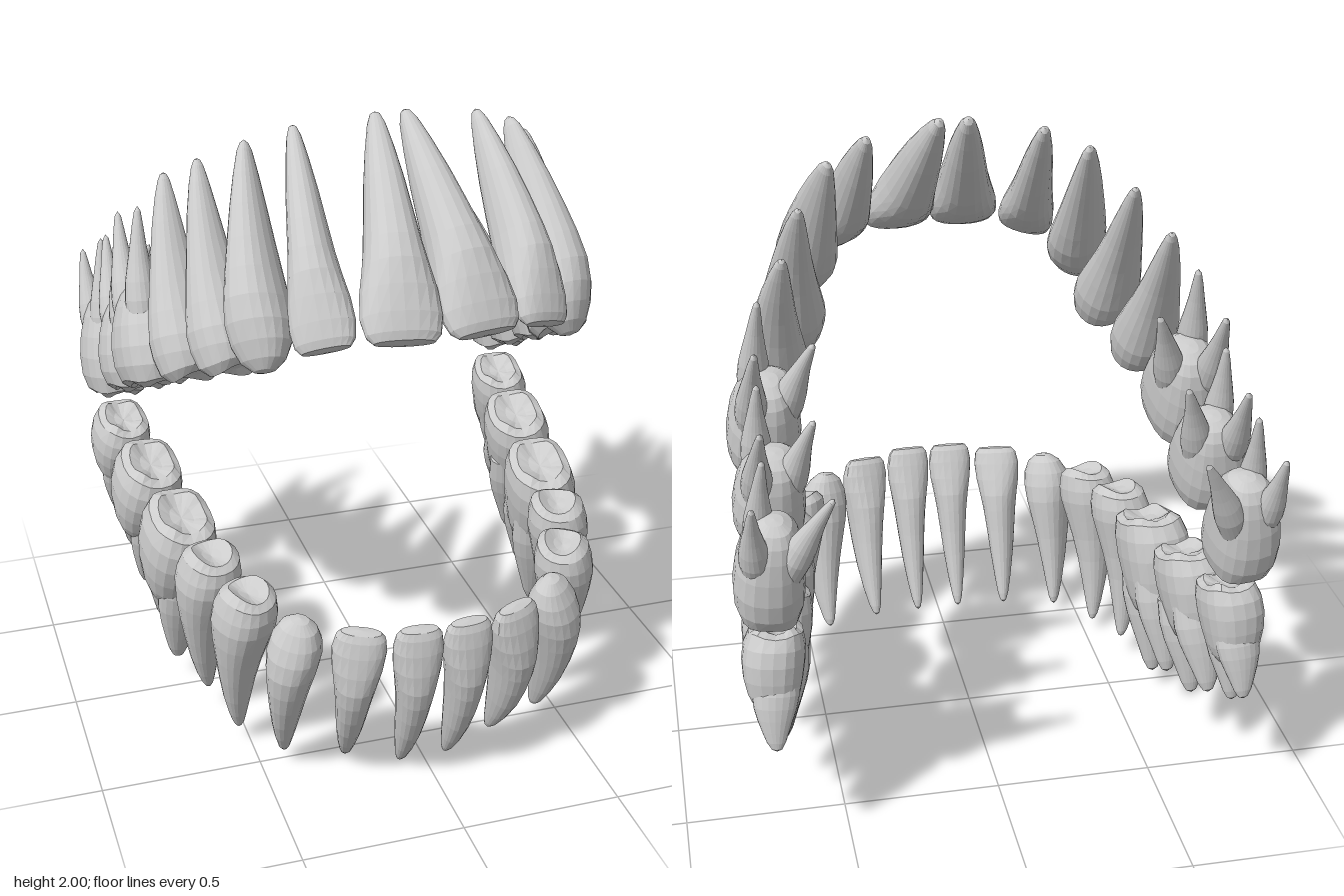
import * as THREE from 'three';

const SIDES = 20;
const V = (p) => new THREE.Vector3(...p);
const material = new THREE.MeshStandardMaterial({ color: 0xcccccc, flatShading: true });

// Profiles run from biting surface to root tip: [position, width, depth, cusp height]
const INCISOR = [[-0.008, 0, 0], [0, 0.74, 0.24], [0.03, 0.91, 0.4], [0.1, 1, 0.6], [0.2, 0.95, 0.82], [0.3, 0.82, 0.98],
  [0.4, 0.71, 0.98], [0.53, 0.61, 0.88], [0.68, 0.5, 0.72], [0.83, 0.36, 0.5], [0.94, 0.23, 0.3], [0.985, 0.13, 0.16], [1, 0, 0]];
const CANINE = [[0, 0, 0], [0.01, 0.34, 0.26], [0.05, 0.7, 0.5], [0.12, 0.93, 0.74], [0.2, 1, 0.92], [0.3, 0.93, 1],
  [0.42, 0.79, 0.93], [0.55, 0.65, 0.8], [0.7, 0.5, 0.63], [0.84, 0.35, 0.44], [0.95, 0.21, 0.26], [0.985, 0.12, 0.14], [1, 0, 0]];
const PREMOLAR = [[0.04, 0, 0], [0.038, 0.32, 0.3, 0.008], [0.027, 0.64, 0.6, 0.022], [0.055, 0.88, 0.85, 0.014], [0.12, 1, 0.97],
  [0.2, 1, 1], [0.32, 0.85, 0.9], [0.45, 0.68, 0.76], [0.6, 0.53, 0.6], [0.75, 0.4, 0.45], [0.88, 0.27, 0.3],
  [0.96, 0.17, 0.18], [0.99, 0.09, 0.1], [1, 0, 0]];
const MOLAR = [[0.085, 0, 0], [0.075, 0.32, 0.32, 0.006], [0.04, 0.64, 0.64, 0.018], [0.07, 0.88, 0.86, 0.01], [0.2, 1, 0.98],
  [0.38, 1, 1], [0.58, 0.9, 0.94], [0.76, 0.76, 0.83], [0.88, 0.62, 0.69], [0.96, 0.44, 0.5], [1, 0.2, 0.25], [1.01, 0, 0]];
const SLIM_ROOT = [[0, 0, 0], [0.01, 0.9, 0.9], [0.25, 1, 1], [0.4, 0.86, 0.9], [0.55, 0.64, 0.7], [0.7, 0.46, 0.5],
  [0.85, 0.32, 0.34], [0.96, 0.2, 0.2], [1, 0, 0]];
const STOUT_ROOT = [[0, 0, 0], [0.01, 0.9, 0.9], [0.25, 1, 1], [0.42, 0.92, 0.92], [0.58, 0.76, 0.76], [0.74, 0.57, 0.57],
  [0.88, 0.39, 0.4], [0.97, 0.22, 0.22], [1, 0, 0]];

// Axis frame: u runs along the arch, v across it
function frame(start, end, u0) {
  const a = end.clone().sub(start).normalize();
  const u = u0.clone().addScaledVector(a, -u0.dot(a)).normalize();
  return { a, u, v: u.clone().cross(a) };
}

// Sweeps oval sections along a gently bowed path
function loft(profile, start, end, f, w, d, bow, cusps, power) {
  const out = f.v.clone().multiplyScalar(Math.sign(f.v.x * start.x + f.v.z * start.z) || 1);
  const pos = [], index = [];
  const oval = (t) => Math.sign(t) * Math.abs(t) ** power;
  profile.forEach(([s, pw, pd, cusp = 0], i) => {
    const c = start.clone().lerp(end, s).addScaledVector(out, 4 * bow * s * (1 - s));
    for (let j = 0; j < SIDES; j++) {
      const t = (j / SIDES) * Math.PI * 2;
      const p = c.clone()
        .addScaledVector(f.u, oval(Math.cos(t)) * pw * w / 2)
        .addScaledVector(f.v, oval(Math.sin(t)) * pd * d / 2)
        .addScaledVector(f.a, -cusp * Math.sin(cusps * t) ** 2);
      pos.push(p.x, p.y, p.z);
      if (i === profile.length - 1) continue;
      const k = (j + 1) % SIDES, r = i * SIDES, n = r + SIDES;
      if (pw > 0) index.push(r + j, n + j, r + k);
      if (profile[i + 1][1] > 0) index.push(r + k, n + j, n + k);
    }
  });
  const g = new THREE.BufferGeometry();
  g.setAttribute('position', new THREE.Float32BufferAttribute(pos, 3));
  g.setIndex(index);
  g.computeVertexNormals();
  return g;
}

// Single-rooted teeth: biting point, root tip, arch direction in degrees, width, depth, bow
const single = [
  ['upperCentralIncisor', INCISOR, [0.121, 1.495, 0.76], [0.045, 2, 0.24], 5, 0.235, 0.2, 0.002],
  ['upperLateralIncisor', INCISOR, [0.325, 1.47, 0.69], [0.28, 1.97, 0.2], 30, 0.19, 0.18, 0.004],
  ['upperCanine', CANINE, [0.465, 1.36, 0.55], [0.41, 1.92, 0.14], 48, 0.19, 0.21, 0.012],
  ['upperFirstPremolar', PREMOLAR, [0.515, 1.28, 0.35], [0.52, 1.83, -0.01], 66, 0.2, 0.21, 0.015],
  ['upperSecondPremolar', PREMOLAR, [0.595, 1.19, 0.16], [0.59, 1.74, -0.18], 74, 0.2, 0.21, 0.015],
  ['lowerCentralIncisor', INCISOR, [0.078, 0.59, 0.795], [0.076, 0.005, 0.61], 4, 0.155, 0.15, 0.036],
  ['lowerLateralIncisor', INCISOR, [0.243, 0.585, 0.75], [0.24, 0.03, 0.56], 20, 0.165, 0.16, 0.036],
  ['lowerCanine', CANINE, [0.4, 0.6, 0.645], [0.42, 0.04, 0.5], 36, 0.165, 0.18, 0.033],
  ['lowerFirstPremolar', PREMOLAR, [0.51, 0.622, 0.468], [0.53, 0.05, 0.35], 62, 0.2, 0.19, 0.025],
  ['lowerSecondPremolar', PREMOLAR, [0.575, 0.652, 0.262], [0.585, 0.09, 0.16], 74, 0.205, 0.2, 0.025],
];

// Molars: chewing surface, root fork, width, depth, root tips
const molars = [
  ['upperFirstMolar', [0.66, 1.075, -0.085], [0.65, 1.38, -0.22], 0.31, 0.23,
    [[0.67, 1.63, -0.21], [0.7, 1.55, -0.41], [0.52, 1.53, -0.32]]],
  ['upperSecondMolar', [0.675, 0.955, -0.34], [0.66, 1.25, -0.45], 0.27, 0.22,
    [[0.7, 1.46, -0.42], [0.71, 1.4, -0.62], [0.55, 1.39, -0.54]]],
  ['upperThirdMolar', [0.705, 0.825, -0.605], [0.69, 1.17, -0.7], 0.26, 0.21,
    [[0.715, 1.36, -0.7], [0.76, 1.28, -0.83], [0.53, 1.28, -0.81]]],
  ['lowerFirstMolar', [0.615, 0.672, 0.02], [0.645, 0.31, -0.085], 0.3, 0.23,
    [[0.64, 0.08, -0.06], [0.65, 0.16, -0.19]]],
  ['lowerSecondMolar', [0.65, 0.712, -0.295], [0.685, 0.4, -0.39], 0.28, 0.22,
    [[0.675, 0.2, -0.38], [0.69, 0.28, -0.5]]],
  ['lowerThirdMolar', [0.69, 0.752, -0.575], [0.71, 0.49, -0.645], 0.24, 0.19,
    [[0.715, 0.35, -0.65], [0.72, 0.41, -0.735]]],
];

function archDirection(degrees, side) {
  const r = THREE.MathUtils.degToRad(degrees);
  return new THREE.Vector3(side * Math.cos(r), 0, -Math.sin(r));
}

export function createModel() {
  const model = new THREE.Group();
  const jaws = {};
  for (const jaw of ['upper', 'lower']) {
    jaws[jaw] = new THREE.Group();
    jaws[jaw].name = jaw + 'Teeth';
    model.add(jaws[jaw]);
  }
  const addMesh = (parent, name, geometry) => {
    const mesh = new THREE.Mesh(geometry, material);
    mesh.name = name;
    parent.add(mesh);
  };

  for (const side of [1, -1]) {
    const suffix = side > 0 ? 'Left' : 'Right';
    const at = (p) => V([p[0] * side, p[1], p[2]]);

    for (const [name, profile, c, tip, angle, w, d, bow] of single) {
      const start = at(c), end = at(tip);
      const f = frame(start, end, archDirection(angle, side));
      addMesh(jaws[name.slice(0, 5)], name + suffix, loft(profile, start, end, f, w, d, bow, 1, 0.9));
    }

    for (const [name, c, fork, w, d, tips] of molars) {
      const tooth = new THREE.Group();
      tooth.name = name + suffix;
      jaws[name.slice(0, 5)].add(tooth);
      const start = at(c), end = at(fork);
      const f = frame(start, end, archDirection(84, side));
      addMesh(tooth, 'crown', loft(MOLAR, start, end, f, w, d, 0.01, 2, 0.82));

      // Roots leave the crown on the side their tips lie: three slim or two stout ones
      const [profile, rootW, rootD] = tips.length === 3 ? [SLIM_ROOT, 0.36, 0.44] : [STOUT_ROOT, 0.41, 0.74];
      for (const t of tips) {
        const tip = at(t), offset = tip.clone().sub(end);
        const clamp = (x, m) => THREE.MathUtils.clamp(x, -m, m);
        const base = start.clone().lerp(end, 0.52)
          .addScaledVector(f.u, clamp(offset.dot(f.u), w * 0.19))
          .addScaledVector(f.v, clamp(offset.dot(f.v), d * 0.19));
        const rf = frame(base, tip, f.u);
        addMesh(tooth, 'root', loft(profile, base, tip, rf, w * rootW, d * rootD, 0.006, 1, 1));
      }
    }
  }
  return model;
}
